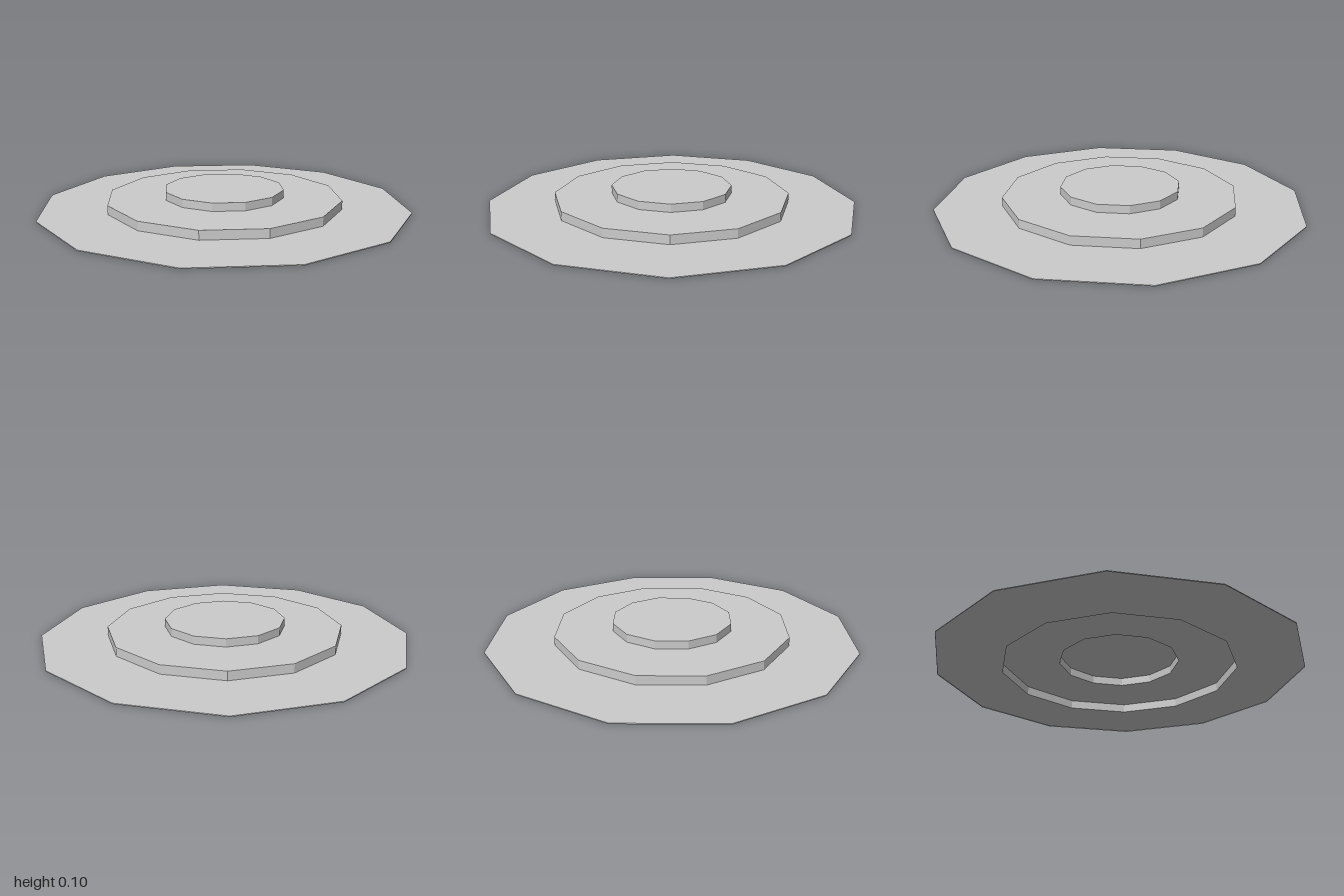
import * as THREE from 'three';

// Stepped twelve-sided disc: a thin sheet, hollow underneath.
export function createModel() {
  const group = new THREE.Group();
  group.name = 'steppedDisc';
  const material = new THREE.MeshStandardMaterial({
    color: 0xcccccc, flatShading: true, side: THREE.DoubleSide,
  });

  // Each tier is a short upright wall and a flat top reaching in to the next tier.
  const tiers = [
    { name: 'baseDisc', radius: 1, bottom: 0, top: 0.005 },
    { name: 'middleStep', radius: 0.638, bottom: 0.005, top: 0.053 },
    { name: 'topStep', radius: 0.326, bottom: 0.053, top: 0.097 },
  ];
  tiers.forEach(({ name, radius, bottom, top }, i) => {
    const inner = i + 1 < tiers.length ? tiers[i + 1].radius : 0;
    const profile = [[radius, bottom], [radius, top], [inner, top]]
      .map(([x, y]) => new THREE.Vector2(x, y));
    const mesh = new THREE.Mesh(new THREE.LatheGeometry(profile, 12), material);
    mesh.name = name;
    group.add(mesh);
  });
  return group;
}
